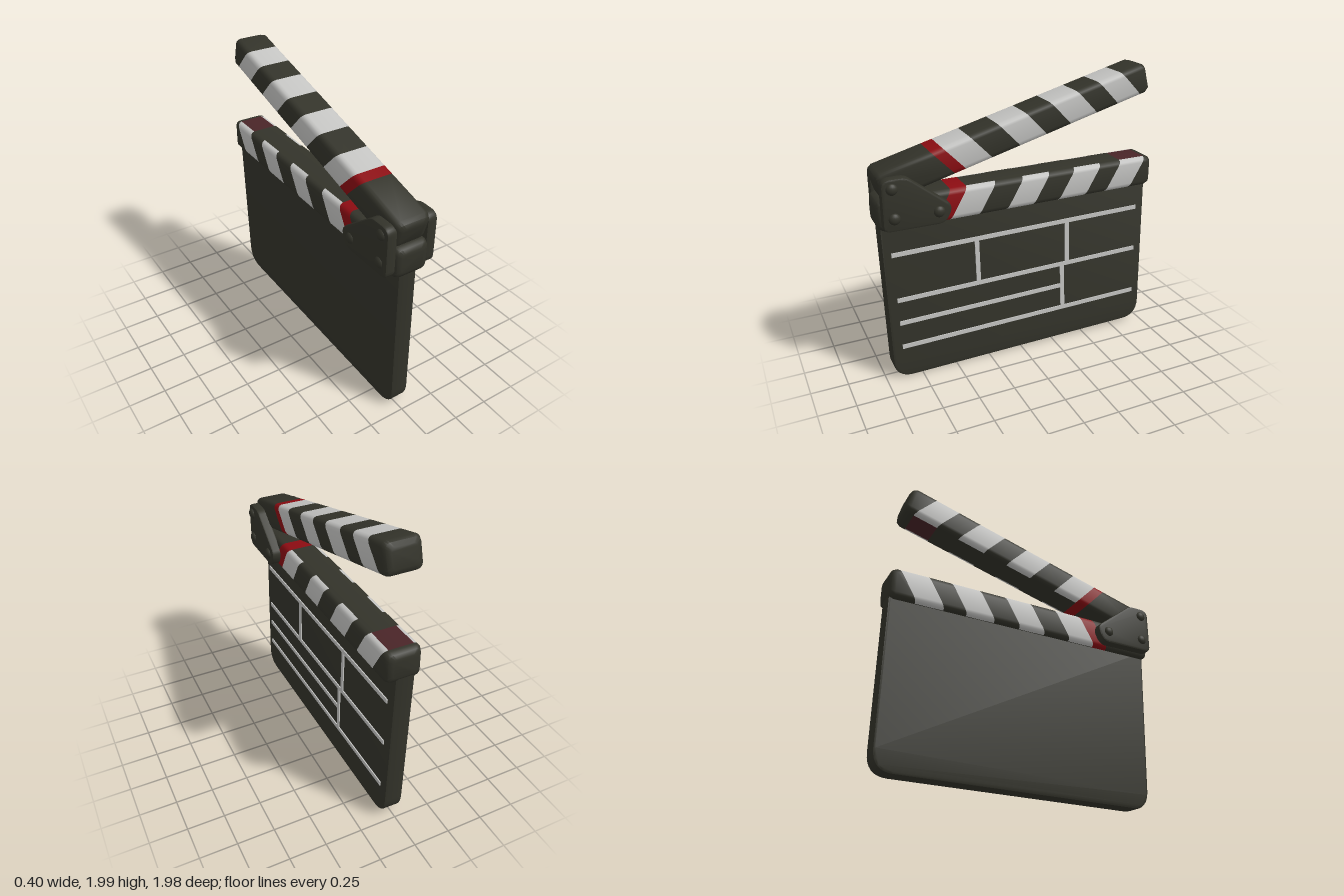
import * as THREE from 'three';
import { toCreasedNormals } from 'three/addons/utils/BufferGeometryUtils.js';

const mat = (name, color) => Object.assign(new THREE.MeshStandardMaterial({ color }), { name });

// Rounded bar along z, lofted from rounded-rectangle rings and split into slanted stripes.
// stripes: [z, colour index of the segment up to the next entry], ascending in z.
function stripedBar({ hx, hy, start, end, shear, stripes, pick, materials }) {
  const r = 0.035, e = 0.04;
  const stations = [
    { z: start, inset: e, c: 0 }, { z: start + e * 0.3, inset: e * 0.3, c: 0 }, { z: start + e, inset: 0, c: 0 },
    ...stripes.map(([z, c]) => ({ z, inset: 0, c, shear })),
    { z: end - e, inset: 0, c: 0 }, { z: end - e * 0.3, inset: e * 0.3, c: 0 }, { z: end, inset: e, c: 0 },
  ];
  const N = 16, pos = [];
  for (const s of stations) {
    for (let k = 0; k < N; k++) {
      const corner = Math.floor(k / 4), a = (corner + (k % 4) / 3) * Math.PI / 2;
      const sx = corner === 0 || corner === 3 ? 1 : -1, sy = corner < 2 ? 1 : -1;
      const x = (sx * (hx - r) + r * Math.cos(a)) * (hx - s.inset) / hx;
      const y = (sy * (hy - r) + r * Math.sin(a)) * (hy - s.inset) / hy;
      pos.push(x, y, s.z + (s.shear || 0) * y / hy);
    }
  }
  const faces = materials.map(() => []);
  const last = (stations.length - 1) * N;
  for (let i = 0; i < stations.length - 1; i++) {
    for (let k = 0; k < N; k++) {
      const a = i * N + k, b = i * N + (k + 1) % N;
      const side = k === 3 ? 'top' : k === 11 ? 'bottom' : 'side';
      faces[pick(stations[i].c, side, stations[i].z)].push(a, b, b + N, a, b + N, a + N);
    }
  }
  for (let k = 1; k < N - 1; k++) faces[0].push(0, k + 1, k, last, last + k, last + k + 1);
  const g = new THREE.BufferGeometry();
  g.setAttribute('position', new THREE.Float32BufferAttribute(pos, 3));
  g.setIndex(faces.flat());
  let at = 0;
  faces.forEach((f, m) => { if (f.length) g.addGroup(at, f.length, m); at += f.length; });
  return new THREE.Mesh(toCreasedNormals(g, 0.8), materials);
}

// Extrude a side outline (z, y) across x, centred on x = 0
function sidePanel(shape, width, bevel) {
  const g = new THREE.ExtrudeGeometry(shape, {
    depth: width - 2 * bevel, bevelEnabled: true, bevelThickness: bevel, bevelSize: bevel,
    bevelOffset: -bevel, bevelSegments: 2, curveSegments: 8,
  });
  g.translate(0, 0, bevel - width / 2);
  g.rotateY(-Math.PI / 2);
  return toCreasedNormals(g, 0.7);
}

export function createModel() {
  const model = new THREE.Group();
  const dark = mat('dark slate', 0x33332a);
  const white = mat('chalk white', 0xc4c4c2);
  const red = mat('red', 0x8c0c12);
  const maroon = mat('dull maroon', 0x4a2528);
  const materials = [dark, white, red, maroon];
  const add = (parent, mesh, name) => { mesh.name = name; parent.add(mesh); return mesh; };

  // Board, leaning slightly sideways, with rounded lower corners
  const board = new THREE.Group();
  board.name = 'board';
  board.position.y = 0.56;
  board.rotation.z = 0.027;
  model.add(board);
  const s = new THREE.Shape();
  s.moveTo(0.965, 0.62);
  s.lineTo(-0.98, 0.62);
  s.lineTo(-0.985, -0.39);
  s.quadraticCurveTo(-0.985, -0.53, -0.85, -0.532);
  s.lineTo(0.82, -0.553);
  s.quadraticCurveTo(0.945, -0.55, 0.948, -0.42);
  s.closePath();
  add(board, new THREE.Mesh(sidePanel(s, 0.13, 0.015), dark), 'slate');

  // Chalk lines: z and y of both ends
  const lines = [
    [0.905, 0.922, -0.915, 0.948], [0.89, 0.595, -0.915, 0.622], [0.885, 0.425, -0.31, 0.443],
    [0.88, 0.245, -0.92, 0.272], [0.325, 0.925, 0.32, 0.605], [-0.35, 0.935, -0.355, 0.615], [-0.315, 0.605, -0.325, 0.265],
  ];
  for (const [z1, y1, z2, y2] of lines) {
    const dz = z2 - z1, dy = y2 - y1;
    const line = add(board, new THREE.Mesh(new THREE.BoxGeometry(0.009, 0.03, Math.hypot(dz, dy)), white), 'chalkLine');
    line.position.set(0.068, (y1 + y2) / 2 - 0.56, (z1 + z2) / 2);
    line.rotation.x = Math.atan2(-dy, dz);
  }

  // Fixed lower stick: stripes on the sides, mostly plain on top
  const lower = add(model, stripedBar({
    hx: 0.118, hy: 0.105, start: -0.987, end: 0.987, shear: -0.062, materials,
    stripes: [[-0.87, 1], [-0.675, 0], [-0.516, 1], [-0.314, 0], [-0.126, 1], [0.067, 0], [0.262, 1], [0.46, 2], [0.57, 0]],
    pick: (c, side, z) => (side === 'side' || c !== 1 ? c : side === 'top' && z < -0.8 ? 3 : 0),
  }), 'lowerStick');
  lower.position.set(-0.003, 1.228, 0);
  lower.rotation.x = 0.01;

  // Raised upper stick: stripes on the sides and top
  const upper = add(model, stripedBar({
    hx: 0.12, hy: 0.1, start: -0.945, end: 1.0, shear: 0.055, materials,
    stripes: [[-0.81, 1], [-0.634, 0], [-0.47, 1], [-0.27, 0], [-0.09, 1], [0.107, 0], [0.308, 1], [0.493, 2], [0.57, 0]],
    pick: (c, side, z) => (side === 'bottom' && c === 1 ? (z < -0.7 ? 3 : 0) : c),
  }), 'upperStick');
  upper.position.set(-0.004, 1.657, 0);
  upper.rotation.x = 0.269;

  // Hinge plates with three domed rivets on each side
  const p = new THREE.Shape();
  p.moveTo(0.965, 1.18);
  p.lineTo(0.965, 1.42);
  p.quadraticCurveTo(0.965, 1.475, 0.9, 1.475);
  p.lineTo(0.84, 1.475);
  p.quadraticCurveTo(0.8, 1.475, 0.77, 1.445);
  p.lineTo(0.55, 1.275);
  p.quadraticCurveTo(0.51, 1.24, 0.545, 1.18);
  p.quadraticCurveTo(0.565, 1.135, 0.62, 1.135);
  p.lineTo(0.92, 1.135);
  p.quadraticCurveTo(0.965, 1.135, 0.965, 1.18);
  const plateGeometry = sidePanel(p, 0.07, 0.012);
  const rivetGeometry = new THREE.SphereGeometry(0.038, 16, 10);
  for (const side of [1, -1]) {
    const plate = add(model, new THREE.Mesh(plateGeometry, dark), side > 0 ? 'leftHingePlate' : 'rightHingePlate');
    plate.position.x = side * 0.143 - 0.003;
    for (const [z, y] of [[0.9, 1.412], [0.895, 1.22], [0.61, 1.222]]) {
      const rivet = add(model, new THREE.Mesh(rivetGeometry, dark), 'rivet');
      rivet.position.set(side * 0.172, y, z);
      rivet.scale.x = 0.7;
    }
  }
  return model;
}
